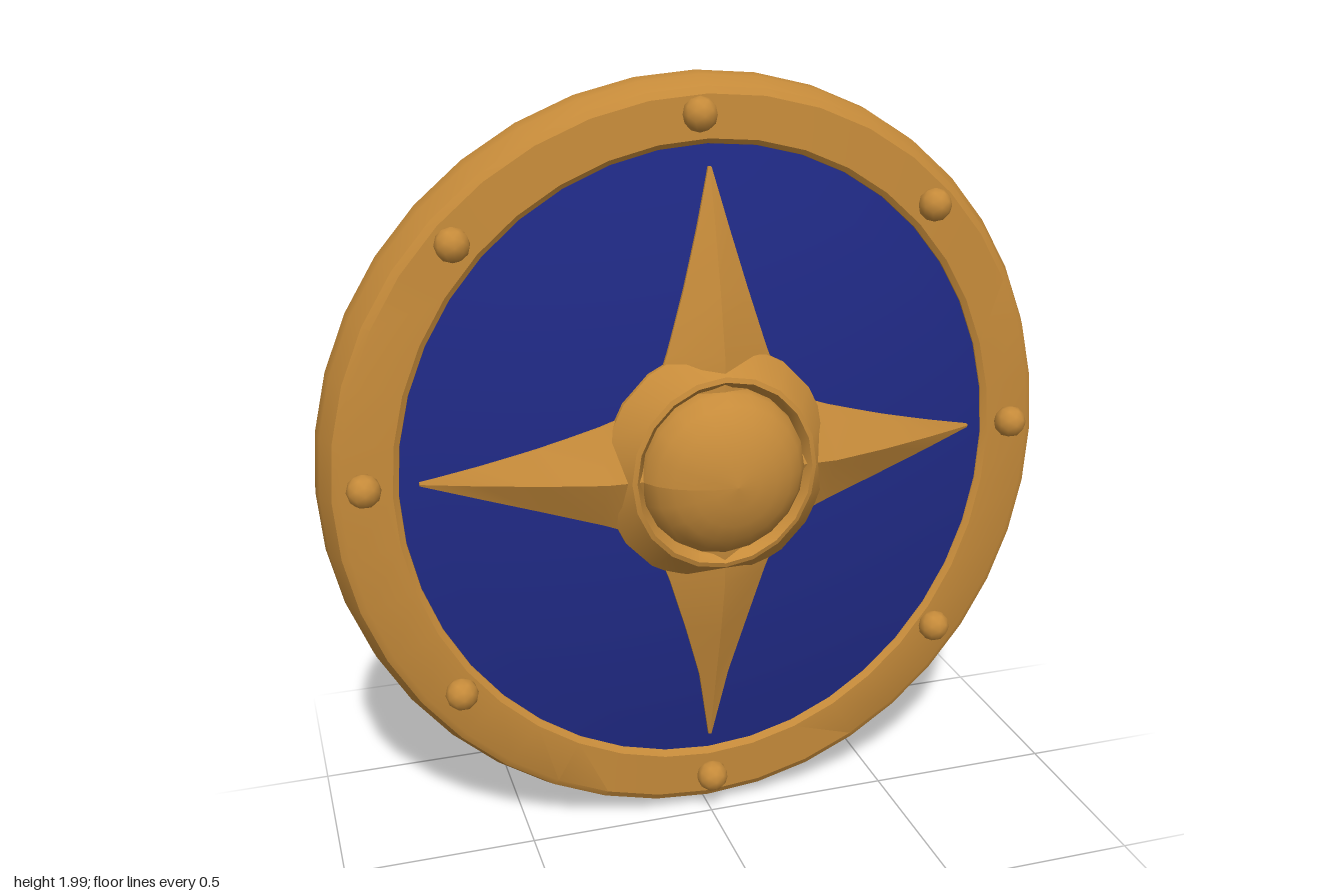
import * as THREE from 'three';
import { toCreasedNormals } from 'three/addons/utils/BufferGeometryUtils.js';

const gold = new THREE.MeshStandardMaterial({ color: 0xc68b3a });
gold.name = 'bronze gold';
const blue = new THREE.MeshStandardMaterial({ color: 0x202a86 });
blue.name = 'deep blue';

const FIELD_Y = 1.015, HUB_Y = 1.045;

// The whole shield curves gently backwards towards its left and right edges
const bend = (x) => -0.048 * x * x;

// Front surface height of the domed field
const dome = (x, y) => 0.055 - 0.14 * (x * x + ((y - FIELD_Y) / 1.05) ** 2) + bend(x);

// Move every vertex of a geometry by a rule
function reshape(geo, rule) {
  const p = geo.attributes.position;
  const v = new THREE.Vector3();
  for (let i = 0; i < p.count; i++) {
    rule(v.fromBufferAttribute(p, i));
    p.setXYZ(i, v.x, v.y, v.z);
  }
  return geo;
}

// Turned part whose axis points forward; profile points are [radius, z]
function turned(profile, segments) {
  const pts = profile.map(([r, z]) => new THREE.Vector2(r, z));
  return new THREE.LatheGeometry(pts, segments).rotateX(Math.PI / 2);
}

function createArm(angle, length) {
  const stations = [[0.2, 0.165, 0.06], [0.3, 0.128, 0.066], [0.45, 0.082, 0.046], [0.6, 0.04, 0.024], [length, 0.004, 0.006]];
  const pos = [], index = [];
  const c = Math.cos(angle), s = Math.sin(angle);
  for (const [r, w, h] of stations) {
    // Cross-section: low edge, raised edge, ridge, raised edge, low edge
    for (const [side, lift] of [[-w, -0.03], [-w, 0.008], [0, h + 0.003], [w, 0.008], [w, -0.03]]) {
      const x = r * c - side * s, y = HUB_Y + r * s + side * c;
      pos.push(x, y, dome(x, y) + lift);
    }
  }
  for (let i = 0; i < stations.length - 1; i++) {
    for (let j = 0; j < 4; j++) {
      const a = i * 5 + j, b = a + 5;
      index.push(a, b, a + 1, b, b + 1, a + 1);
    }
  }
  const e = (stations.length - 1) * 5;
  index.push(e, e + 4, e + 1, e + 1, e + 4, e + 3, e + 1, e + 3, e + 2);
  const geo = new THREE.BufferGeometry();
  geo.setAttribute('position', new THREE.Float32BufferAttribute(pos, 3));
  geo.setIndex(index);
  return toCreasedNormals(geo, 0.3);
}

export function createModel() {
  const group = new THREE.Group();
  group.name = 'roundShield';
  const add = (name, geo, mat, parent = group) => {
    const mesh = new THREE.Mesh(geo, mat);
    mesh.name = name;
    parent.add(mesh);
    return mesh;
  };

  // Rim: slanted outer band, flat front, bevelled inner edge, slightly taller than wide
  const rim = turned([
    [0.77, -0.12], [0.785, -0.168], [0.81, -0.178], [0.945, -0.172], [0.968, -0.158], [0.976, -0.135],
    [0.97, -0.09], [0.945, -0.036], [0.925, -0.024], [0.8, -0.018], [0.785, -0.028], [0.775, -0.06], [0.77, -0.12],
  ], 40);
  reshape(rim, (v) => {
    const r = Math.hypot(v.x, v.y);
    const k = (0.976 - r) / 0.2;
    v.y = 1.002 + 0.013 * k + (v.y / r) * (r + 0.02 + 0.02 * k);
    v.z += bend(v.x);
  });
  add('rim', toCreasedNormals(rim, 0.5), gold);

  // Field: domed in front, hollow behind
  const fieldProfile = [[0, -0.06], [0.3, -0.08], [0.6, -0.112], [0.79, -0.138]];
  for (let i = 0; i <= 8; i++) {
    const r = 0.79 * (1 - i / 8);
    fieldProfile.push([r, 0.055 - 0.14 * r * r]);
  }
  const field = reshape(turned(fieldProfile, 40), (v) => {
    v.y = FIELD_Y + v.y * 1.05;
    v.z += bend(v.x);
  });
  add('field', toCreasedNormals(field, 0.6), blue);

  // Four-pointed star
  const star = new THREE.Group();
  star.name = 'star';
  group.add(star);
  [0.735, 0.74, 0.735, 0.805].forEach((length, i) => {
    add('starArm', createArm(i * Math.PI / 2, length), gold, star);
  });

  // Hub collar with a shallow groove around the boss
  const hub = turned([[0.3, 0], [0.298, 0.05], [0.24, 0.118], [0.228, 0.122], [0.212, 0.1], [0.2, 0.06]], 20);
  reshape(hub, (v) => { v.y = HUB_Y + v.y * 1.05; });
  add('hubCollar', toCreasedNormals(hub, 0.45), gold);

  // Central boss
  const boss = new THREE.SphereGeometry(1, 20, 12).rotateX(Math.PI / 2);
  reshape(boss, (v) => v.set(v.x * 0.215, HUB_Y + v.y * 0.218, 0.08 + v.z * 0.138));
  boss.computeVertexNormals();
  add('boss', boss, gold);

  // Rivets around the rim
  const rivets = new THREE.Group();
  rivets.name = 'rivets';
  group.add(rivets);
  const rivet = new THREE.IcosahedronGeometry(0.043, 1);
  for (const [x, y] of [
    [-0.025, 1.91], [0.6, 1.655], [0.86, 1.045], [0.66, 0.465],
    [0.005, 0.11], [-0.665, 0.465], [-0.87, 1.045], [-0.625, 1.635],
  ]) {
    add('rivet', rivet, gold, rivets).position.set(x, y, -0.01 + bend(x) * 0.7);
  }
  return group;
}
